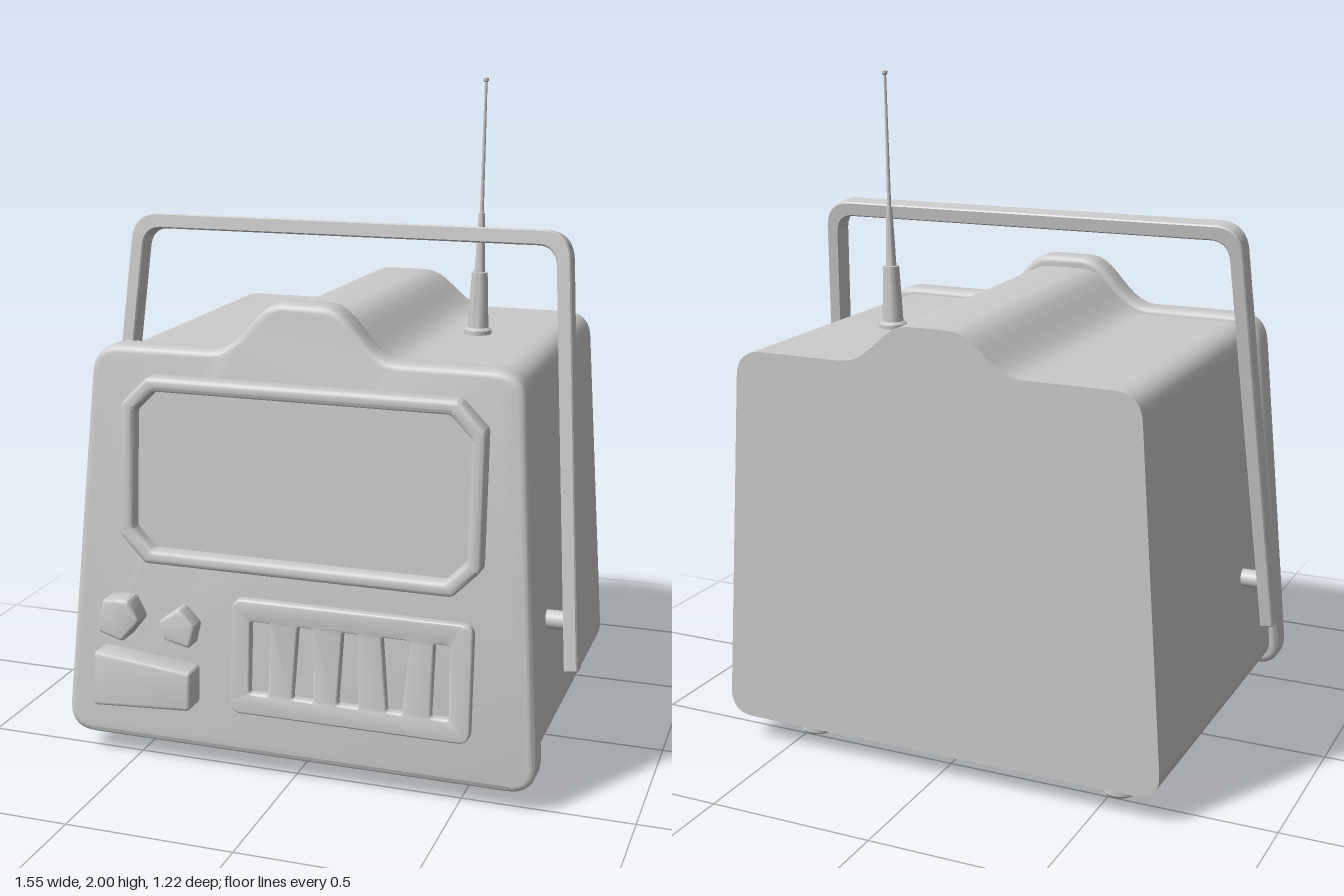
import * as THREE from 'three';
import { toCreasedNormals } from 'three/addons/utils/BufferGeometryUtils.js';

const SLOPE = 0.083;   // backward lean of the front panel
const FACE = 0.555;    // z of the panel front at y = 0
const material = new THREE.MeshStandardMaterial({ color: 0xcccccc });

function addMesh(parent, name, geometry, x = 0, y = 0, z = 0) {
  const mesh = new THREE.Mesh(geometry, material);
  mesh.name = name;
  mesh.position.set(x, y, z);
  parent.add(mesh);
  return mesh;
}

// Closed polygon with every corner rounded by radius r
function roundedPolygon(points, r, Type = THREE.Shape) {
  const path = new Type();
  const v = points.map(([x, y]) => new THREE.Vector2(x, y));
  v.forEach((p, i) => {
    const a = v[(i + v.length - 1) % v.length], b = v[(i + 1) % v.length];
    const s = a.clone().sub(p).setLength(r).add(p);
    const e = b.clone().sub(p).setLength(r).add(p);
    if (i) path.lineTo(s.x, s.y); else path.moveTo(s.x, s.y);
    path.quadraticCurveTo(p.x, p.y, e.x, e.y);
  });
  path.closePath();
  return path;
}

const rect = (x0, y0, x1, y1) => [[x0, y0], [x1, y0], [x1, y1], [x0, y1]];
const octagon = (x0, y0, x1, y1, c) => [
  [x0 + c, y0], [x1 - c, y0], [x1, y0 + c], [x1, y1 - c],
  [x1 - c, y1], [x0 + c, y1], [x0, y1 - c], [x0, y0 + c]];

// Extrusion from z0 to z1 whose outermost outline is the given shape
function slab(shape, z0, z1, bevel, segments = 3) {
  return new THREE.ExtrudeGeometry(shape, {
    depth: z1 - z0 - 2 * bevel, curveSegments: 10, bevelEnabled: bevel > 0,
    bevelSize: bevel, bevelThickness: bevel, bevelOffset: -bevel, bevelSegments: segments,
  }).translate(0, 0, z0 + bevel);
}

// Slab lying on the leaning front panel; z is measured from the panel face
function onPanel(shape, z0, z1, bevel, segments) {
  const g = slab(shape, z0, z1, bevel, segments);
  g.applyMatrix4(new THREE.Matrix4().set(1, 0, 0, 0, 0, 1, 0, 0, 0, -SLOPE, 1, FACE, 0, 0, 0, 1));
  return toCreasedNormals(g, 0.6);
}

// Tapered case silhouette with a bell-shaped hump on top
function caseOutline(wBottom, wTop, y0, yTop, yHump, r) {
  const s = new THREE.Shape();
  const lean = (wBottom - wTop) * r / (yTop - y0);
  s.moveTo(-wBottom + r, y0);
  s.lineTo(wBottom - r, y0);
  s.quadraticCurveTo(wBottom, y0, wBottom - lean, y0 + r);
  s.lineTo(wTop + lean, yTop - r);
  s.quadraticCurveTo(wTop, yTop, wTop - r, yTop);
  s.lineTo(0.28, yTop);
  s.bezierCurveTo(0.18, yTop, 0.15, yHump, 0.06, yHump);
  s.lineTo(-0.06, yHump);
  s.bezierCurveTo(-0.15, yHump, -0.18, yTop, -0.28, yTop);
  s.lineTo(-wTop + r, yTop);
  s.quadraticCurveTo(-wTop, yTop, -wTop - lean, yTop - r);
  s.lineTo(-wBottom + lean, y0 + r);
  s.quadraticCurveTo(-wBottom, y0, -wBottom + r, y0);
  return s;
}

function buildBody(group) {
  const g = slab(caseOutline(0.697, 0.62, 0.08, 1.225, 1.358, 0.08), -0.61, 0.47, 0);
  const p = g.attributes.position;
  for (let i = 0; i < p.count; i++) {
    const y = p.getY(i);
    if (p.getZ(i) > 0) p.setZ(i, 0.47 - SLOPE * y);          // front follows the panel
    else if (y > 1.225) p.setY(i, 1.225 + (y - 1.225) * 0.87); // hump drops to the rear
  }
  addMesh(group, 'body', toCreasedNormals(g, 0.6));
}

function buildFront(group) {
  addMesh(group, 'frontPanel',
    onPanel(caseOutline(0.727, 0.645, 0.06, 1.245, 1.392, 0.09), -0.095, 0, 0.02));

  // Screen and its raised frame
  const frame = roundedPolygon(octagon(-0.532, 0.62, 0.555, 1.168, 0.08), 0.012);
  frame.holes.push(roundedPolygon(octagon(-0.49, 0.662, 0.513, 1.126, 0.06), 0.01, THREE.Path));
  addMesh(group, 'screenFrame', onPanel(frame, -0.02, 0.052, 0.014));
  addMesh(group, 'screen', onPanel(roundedPolygon(octagon(-0.51, 0.64, 0.535, 1.145, 0.07), 0.01), -0.01, 0.012, 0));

  // Slotted plate
  const plate = roundedPolygon(rect(-0.185, 0.195, 0.535, 0.537), 0.035);
  // Slots: bottom left, bottom right, top right, top left
  const slots = [[-0.127, -0.067, -0.067, -0.127], [0.006, 0.072, 0.061, 0.018],
    [0.143, 0.208, 0.198, 0.153], [0.29, 0.337, 0.354, 0.27], [0.42, 0.474, 0.466, 0.424]];
  for (const [a, b, c, d] of slots) {
    plate.holes.push(roundedPolygon([[a, 0.26], [b, 0.26], [c, 0.474], [d, 0.474]], 0.008, THREE.Path));
  }
  addMesh(group, 'slotPlate', onPanel(plate, -0.01, 0.026, 0.006));

  // Uneven five-sided knobs and the wide button
  const knobs = [
    [[-0.595, 0.405], [-0.513, 0.382], [-0.463, 0.448], [-0.5, 0.51], [-0.58, 0.503]],
    [[-0.388, 0.398], [-0.305, 0.38], [-0.29, 0.447], [-0.342, 0.497], [-0.405, 0.452]]];
  knobs.forEach((k, i) => addMesh(group, 'knob' + (i + 1), onPanel(roundedPolygon(k, 0.012), -0.01, 0.068 - i * 0.014, 0.01)));
  addMesh(group, 'wideButton', onPanel(roundedPolygon(
    [[-0.605, 0.18], [-0.293, 0.2], [-0.293, 0.317], [-0.605, 0.345]], 0.015), -0.01, 0.075, 0.012));
}

function buildHandle(group) {
  // Flat strap drawn upright from its lower ends, then leaned back
  const H = 1.28, s = new THREE.Shape();
  s.moveTo(0.775, 0.005);
  s.lineTo(0.688, H - 0.08);
  s.quadraticCurveTo(0.68, H - 0.005, 0.61, H);
  s.lineTo(-0.61, H);
  s.quadraticCurveTo(-0.68, H - 0.005, -0.688, H - 0.08);
  s.lineTo(-0.775, 0.005);
  s.lineTo(-0.735, 0);
  s.lineTo(-0.648, H - 0.1);
  s.quadraticCurveTo(-0.642, H - 0.045, -0.59, H - 0.045);
  s.lineTo(0.59, H - 0.045);
  s.quadraticCurveTo(0.642, H - 0.045, 0.648, H - 0.1);
  s.lineTo(0.735, 0);
  s.closePath();
  const handle = addMesh(group, 'handle', toCreasedNormals(slab(s, -0.033, 0.033, 0.004, 1), 0.6), 0, 0.31, 0.213);
  handle.rotation.x = -0.132;

  // Pivot pins
  for (const side of [-1, 1]) {
    const pin = new THREE.CylinderGeometry(0.028, 0.028, 0.09, 20).rotateZ(Math.PI / 2);
    addMesh(group, side > 0 ? 'leftPin' : 'rightPin', pin, side * 0.705, 0.455, 0.193);
  }
}

function buildAntenna(group) {
  const profile = [[0, 0], [0.042, 0], [0.042, 0.02], [0.034, 0.027], [0.032, 0.028], [0.024, 0.197],
    [0.016, 0.198], [0.009, 0.378], [0.006, 0.379], [0.004, 0.766], [0.008, 0.77], [0.008, 0.778], [0, 0.782]];
  const g = new THREE.LatheGeometry(profile.map(([r, y]) => new THREE.Vector2(r, y)), 24);
  addMesh(group, 'antenna', toCreasedNormals(g, 0.6), 0.36, 1.218, -0.15).rotation.z = -0.016;
}

export function createModel() {
  const group = new THREE.Group();
  group.name = 'portableTelevision';
  buildBody(group);
  buildFront(group);
  buildHandle(group);
  buildAntenna(group);

  // Feet
  for (const x of [-0.52, 0.483]) for (const z of [0.327, -0.453]) {
    const profile = [[0, 0], [0.046, 0], [0.053, 0.008], [0.053, 0.09]].map(([r, y]) => new THREE.Vector2(r, y));
    addMesh(group, 'foot', toCreasedNormals(new THREE.LatheGeometry(profile, 24), 0.6), x, 0, z);
  }
  return group;
}
